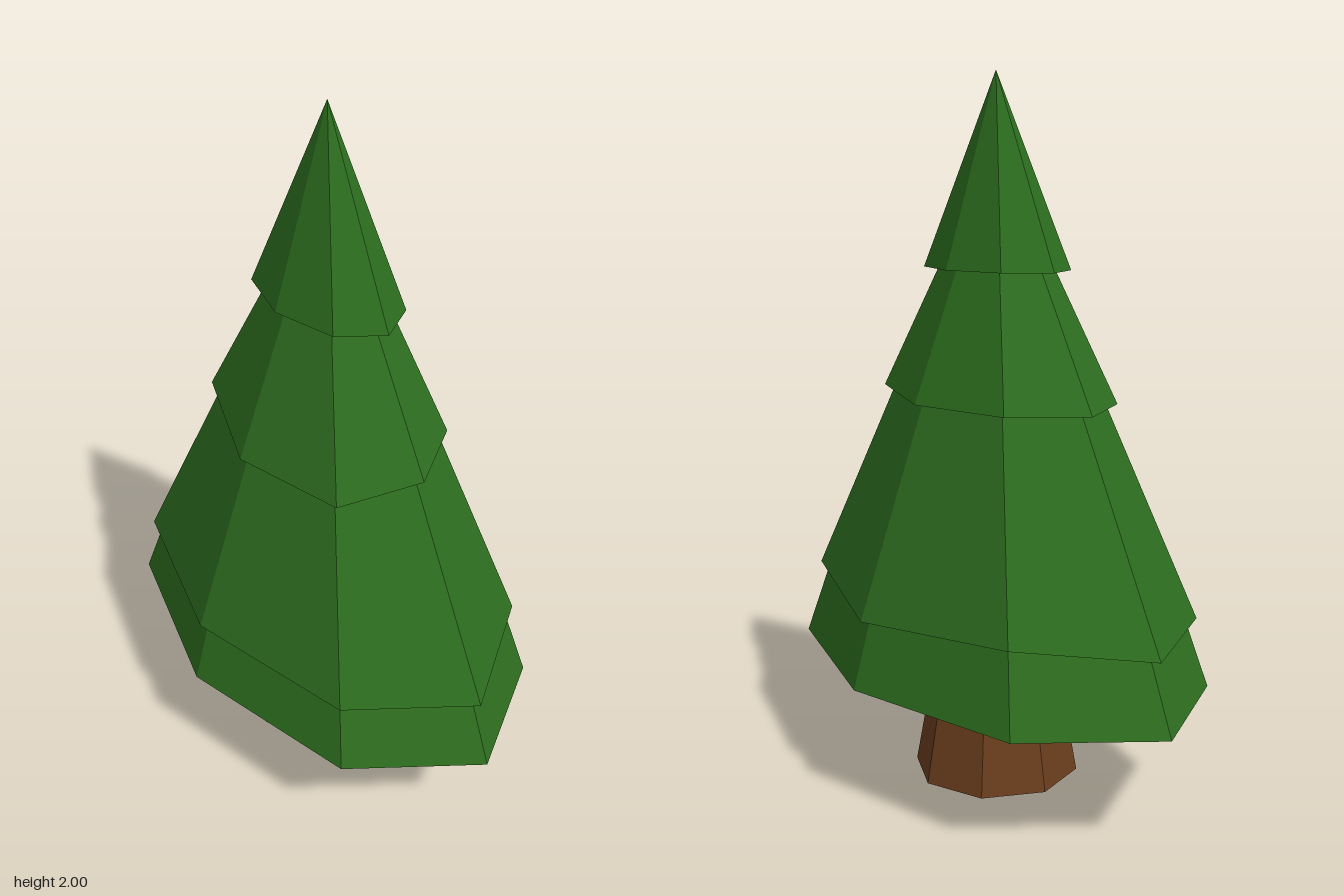
import * as THREE from 'three';

const SIDES = 8;

// One eight-sided oval ring; each corner may slide along the slope towards the apex.
function ring(rx, rz, y, apex = y + 1, shifts = []) {
  return Array.from({ length: SIDES }, (_, k) => {
    const a = (k / SIDES) * Math.PI * 2;
    const dy = shifts[k] || 0;
    const s = 1 - dy / (apex - y);
    return new THREE.Vector3(Math.cos(a) * rx * s, y + dy, Math.sin(a) * rz * s);
  });
}

// Skin the rings in order, from the centre of the underside outwards and up.
function loft(name, rings, color) {
  const pos = [];
  const tri = (a, b, c) => {
    if (a.distanceTo(b) < 1e-6 || b.distanceTo(c) < 1e-6 || c.distanceTo(a) < 1e-6) return;
    for (const p of [a, b, c]) pos.push(p.x, p.y, p.z);
  };
  for (let i = 0; i < rings.length - 1; i++) {
    for (let k = 0; k < SIDES; k++) {
      const n = (k + 1) % SIDES;
      const a = rings[i][k], b = rings[i][n], c = rings[i + 1][n], d = rings[i + 1][k];
      tri(a, d, c);
      tri(a, c, b);
    }
  }
  const geo = new THREE.BufferGeometry();
  geo.setAttribute('position', new THREE.Float32BufferAttribute(pos, 3));
  geo.computeVertexNormals();
  const mesh = new THREE.Mesh(geo, new THREE.MeshStandardMaterial({ color, flatShading: true }));
  mesh.name = name;
  return mesh;
}

export function createModel() {
  const tree = new THREE.Group();
  tree.name = 'pineTree';
  const green = 0x2d6e1f, brown = 0x6b3e1e;

  // Tapered trunk
  tree.add(loft('trunk', [
    ring(0, 0, 0), ring(0.24, 0.24, 0), ring(0.168, 0.168, 0.4), ring(0, 0, 0.4),
  ], brown));

  // Lowest skirt of branches, with a rim and a shallow recess underneath
  tree.add(loft('bottomBranches', [
    ring(0, 0, 0.385), ring(0.425, 0.69, 0.385), ring(0.435, 0.705, 0.335),
    ring(0.475, 0.755, 0.335), ring(0.395, 0.628, 0.62), ring(0, 0, 0.62),
  ], green));

  // Upper cones; the shifts lift or drop single corners of the lower edge
  const cones = [
    { name: 'lowerBranches', rx: 0.45, rz: 0.71, y: 0.525, apex: 1.8, shifts: [0, 0.035, 0, 0, 0, 0, 0, 0.03] },
    { name: 'middleBranches', rx: 0.27, rz: 0.43, y: 1.105, apex: 1.81, shifts: [0, 0.015, 0, -0.055, -0.055] },
    { name: 'topBranches', rx: 0.166, rz: 0.266, y: 1.465, apex: 2, shifts: [] },
  ];
  for (const c of cones) {
    tree.add(loft(c.name, [
      ring(0, 0, c.y), ring(c.rx, c.rz, c.y, c.apex, c.shifts), ring(0, 0, c.apex),
    ], green));
  }
  return tree;
}
